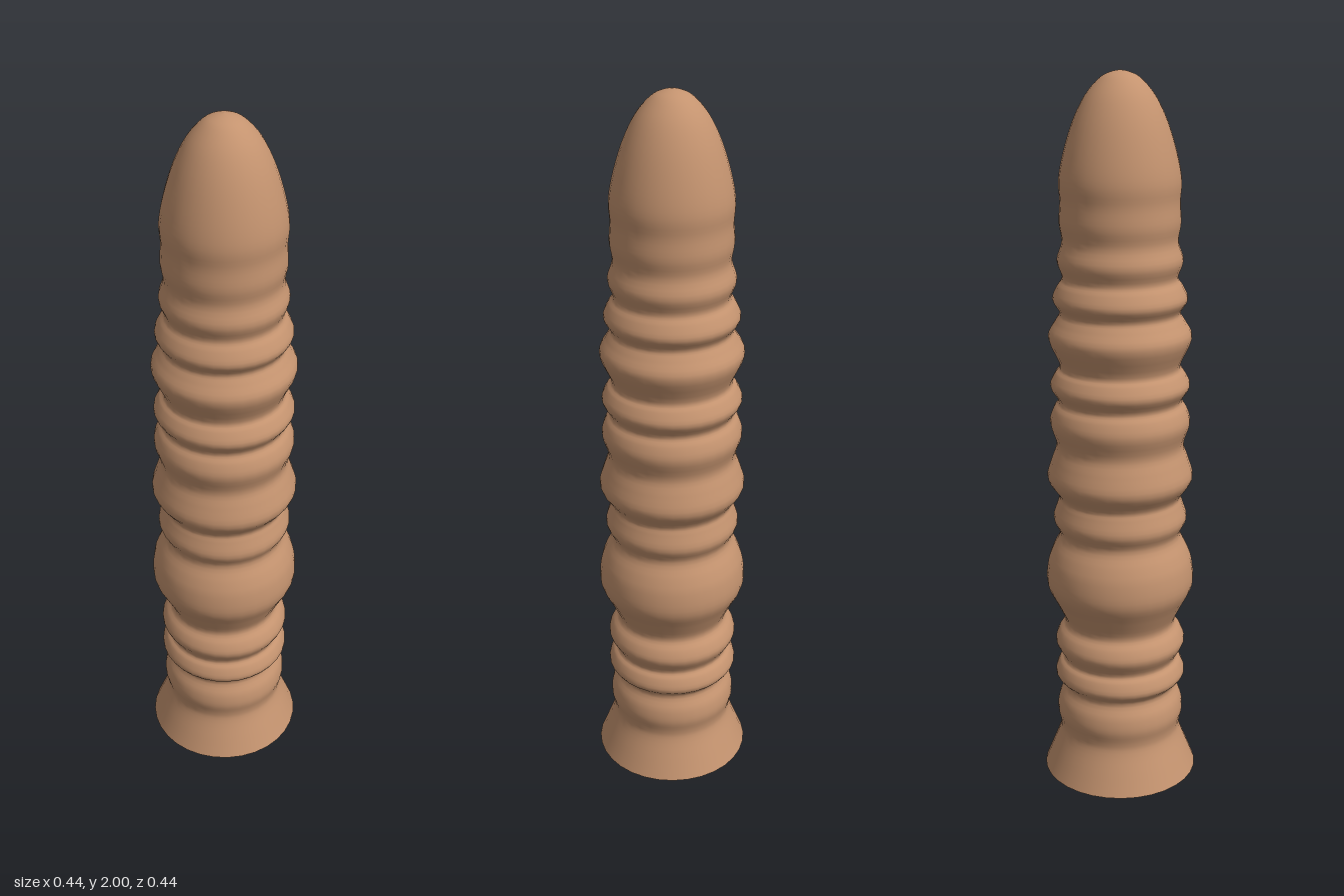
import * as THREE from 'three';

// Silhouette as [radius, height], from the flared open base up to the tip
const PROFILE = [
  [0.222, 0], [0.2, 0.055], [0.177, 0.115], [0.175, 0.145], [0.183, 0.185], [0.177, 0.225],
  [0.16, 0.265], [0.187, 0.3], [0.177, 0.335], [0.163, 0.355], [0.186, 0.4], [0.176, 0.435],
  [0.157, 0.465], [0.18, 0.52], [0.208, 0.58], [0.205, 0.645], [0.19, 0.69],
  [0.17, 0.735], [0.188, 0.78], [0.176, 0.825], [0.172, 0.85], [0.203, 0.9], [0.19, 0.955],
  [0.177, 1.0], [0.194, 1.06], [0.184, 1.1], [0.17, 1.125], [0.192, 1.165], [0.178, 1.2],
  [0.165, 1.225], [0.196, 1.3], [0.176, 1.345], [0.164, 1.37], [0.183, 1.405], [0.17, 1.44],
  [0.156, 1.465], [0.17, 1.51], [0.156, 1.56], [0.163, 1.61], [0.16, 1.665], [0.163, 1.72],
  [0.15, 1.79], [0.125, 1.87], [0.093, 1.935], [0.055, 1.979], [0.025, 1.995], [0, 2],
];

export function createModel() {
  const group = new THREE.Group();
  group.name = 'ribbedHorn';

  // Smooth curve through the ribs and grooves, spun around the upright axis
  const curve = new THREE.SplineCurve(PROFILE.map(([r, y]) => new THREE.Vector2(r, y)));
  const points = curve.getPoints((PROFILE.length - 1) * 4);
  points.forEach((p) => { p.x = Math.max(p.x, 0); });

  const body = new THREE.Mesh(
    new THREE.LatheGeometry(points, 32),
    new THREE.MeshStandardMaterial({ color: 0xc4936f, side: THREE.DoubleSide }),
  );
  body.name = 'ribbedBody';
  group.add(body);
  return group;
}
